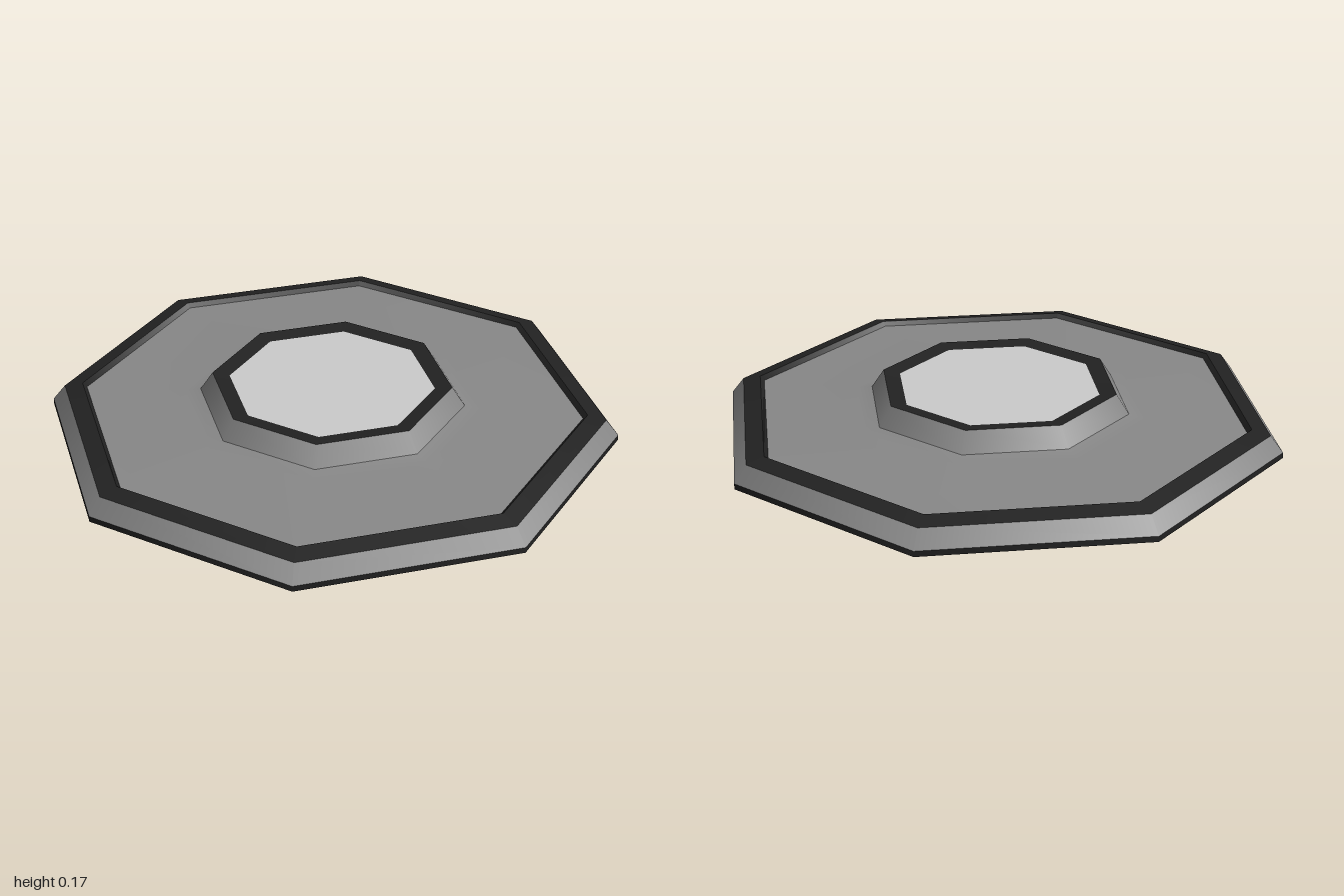
import * as THREE from 'three';

const SIDES = 8;
const GREY = 0x888888, BLACK = 0x222222, LIGHT = 0xcccccc;

// One eight-sided band of the thin open shell, profile listed from outside to inside
function band(name, color, profile) {
  const points = profile.map(([r, y]) => new THREE.Vector2(r, y));
  const material = new THREE.MeshStandardMaterial({ color, side: THREE.DoubleSide });
  const mesh = new THREE.Mesh(new THREE.LatheGeometry(points, SIDES), material);
  mesh.name = name;
  return mesh;
}

export function createModel() {
  const model = new THREE.Group();
  model.name = 'octagonalPlate';
  model.add(
    // Outer rim
    band('baseEdge', BLACK, [[1, 0], [1, 0.02]]),
    band('slopedRim', GREY, [[1, 0.02], [0.955, 0.078]]),
    band('rimTrim', BLACK, [[0.955, 0.078], [0.89, 0.093]]),
    band('rimLip', BLACK, [[0.89, 0.093], [0.875, 0.078]]),
    // Broad panel, rising slightly towards the hub
    band('panel', GREY, [[0.875, 0.078], [0.52, 0.091], [0.465, 0.101]]),
    // Raised hub with a slightly sunken cap
    band('hubWall', GREY, [[0.465, 0.101], [0.42, 0.17]]),
    band('hubTrim', BLACK, [[0.42, 0.17], [0.36, 0.162]]),
    band('hubCap', LIGHT, [[0.36, 0.162], [0, 0.162]]),
  );
  return model;
}
